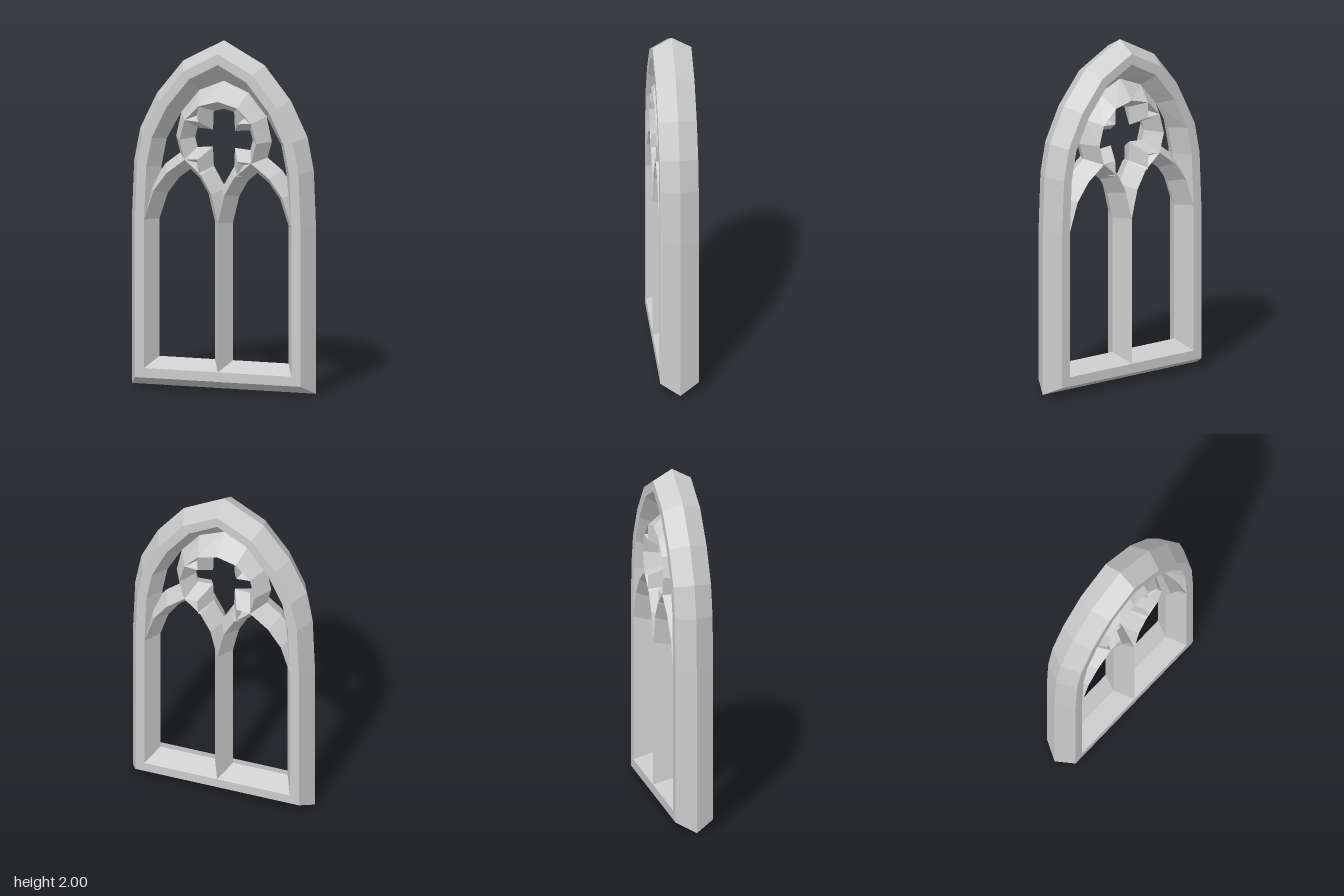
import * as THREE from 'three';

const W = 0.055; // half width of a tracery bar
const D = 0.11;  // half depth of the window

// Cross-sections as [offset to the left of the path, z]
const DIAMOND = [[-W, 0], [0, D], [W, 0], [0, -D]];
const FRAME = [[0, 0], [W, D], [2 * W, D], [3 * W, 0], [2 * W, -D], [W, -D]];

const material = new THREE.MeshStandardMaterial({ color: 0xcccccc, flatShading: true, side: THREE.DoubleSide });

// Sweeps a section along a flat path with mitred corners.
// moved: { pathIndex: [x, y] } shifts the section's inmost point (index `edge`).
function sweep(name, path, section, closed = false, moved = {}, edge = 0) {
  const n = path.length, m = section.length;
  const at = (i) => path[(i + n) % n];
  const normal = (a, b) => {
    const l = Math.hypot(b[0] - a[0], b[1] - a[1]);
    return [-(b[1] - a[1]) / l, (b[0] - a[0]) / l];
  };
  const rings = path.map((p, i) => {
    const before = closed || i > 0 ? normal(at(i - 1), p) : normal(p, at(i + 1));
    const after = closed || i < n - 1 ? normal(p, at(i + 1)) : before;
    const k = 1 / (1 + before[0] * after[0] + before[1] * after[1]);
    return section.map(([d, z], j) => (j === edge && moved[i])
      ? [...moved[i], z]
      : [p[0] + (before[0] + after[0]) * k * d, p[1] + (before[1] + after[1]) * k * d, z]);
  });
  const pos = [];
  for (let i = 0; i < (closed ? n : n - 1); i++) {
    for (let j = 0; j < m; j++) {
      const r = rings[i], s = rings[(i + 1) % n], q = (j + 1) % m;
      pos.push(...r[j], ...s[j], ...s[q], ...r[j], ...s[q], ...r[q]);
    }
  }
  const geometry = new THREE.BufferGeometry();
  geometry.setAttribute('position', new THREE.Float32BufferAttribute(pos, 3));
  geometry.computeVertexNormals();
  const mesh = new THREE.Mesh(geometry, material);
  mesh.name = name;
  return mesh;
}

export function createModel() {
  const group = new THREE.Group();
  group.name = 'traceryWindow';
  const flip = ([x, y]) => [-x, y];

  // Valley shared by the crown of the frame and the top of the rosette ring
  const valley = [[0.255, 1.575], [0.147, 1.706], [0, 1.767]];

  // Pointed outer frame with sill
  const side = [[0.55, 0], [0.55, 0.96], [0.537, 1.28], [0.5, 1.47], [0.4, 1.675], [0.243, 1.87]];
  const outline = [...side, [0, 2], ...side.map(flip).reverse()];
  group.add(sweep('outerFrame', outline, FRAME, true, {
    4: valley[0], 5: valley[1], 6: valley[2], 7: flip(valley[1]), 8: flip(valley[0]),
  }, 3));

  // Rosette ring, open at the bottom where the lancets close it
  const cy = 1.434, r = 0.229;
  const ring = [];
  for (let i = 0; i <= 8; i++) {
    const a = (210 - 30 * i) * Math.PI / 180;
    ring.push([r * Math.cos(a), cy + r * Math.sin(a)]);
  }
  group.add(sweep('rosetteRing', ring, DIAMOND, false, {
    2: flip(valley[0]), 3: flip(valley[1]), 4: valley[2], 5: valley[1], 6: valley[0],
  }, 2));

  // Central mullion
  group.add(sweep('mullion', [[0, 0.1], [0, 0.95]], DIAMOND));

  // Lancet arches, either side of the mullion
  const lancet = [[0.44, 0.1], [0.44, 0.965], [0.385, 1.13], [0.308, 1.235], [0.198, 1.32],
    [0.1, 1.235], [0.04, 1.13], [0, 0.965], [0, 0.9]];
  group.add(sweep('leftLancet', lancet, DIAMOND));
  group.add(sweep('rightLancet', lancet.map(flip), DIAMOND));

  // Four square cusps leaving a cross-shaped opening
  for (const sx of [1, -1]) {
    for (const sy of [1, -1]) {
      const path = [[0.198, 0.114], [0.118, 0.108], [0.114, 0.198]].map(([x, y]) => [sx * x, cy + sy * y]);
      group.add(sweep((sy > 0 ? 'upper' : 'lower') + (sx > 0 ? 'Left' : 'Right') + 'Cusp', path, DIAMOND));
    }
  }
  return group;
}
